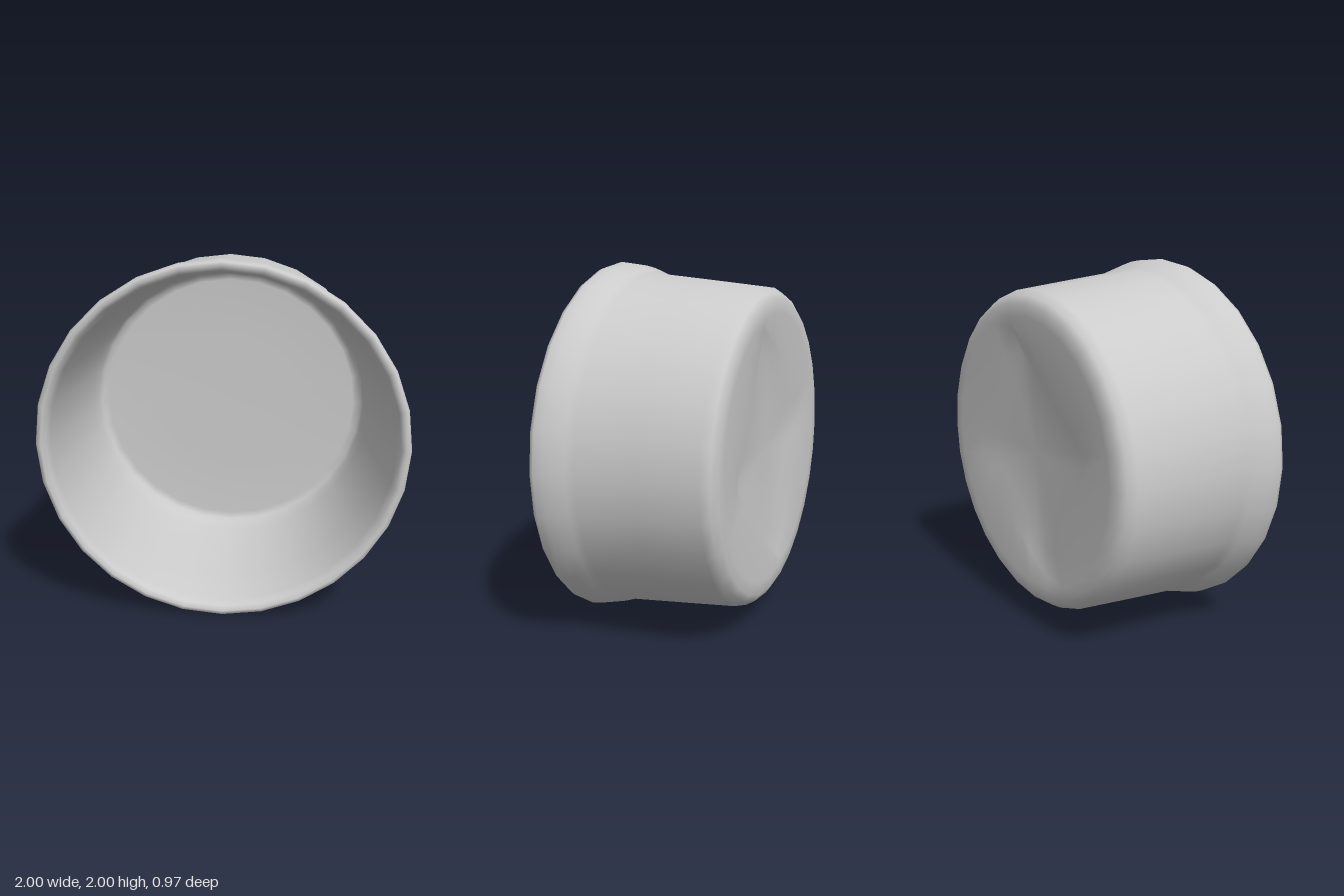
import * as THREE from 'three';
import { mergeVertices } from 'three/addons/utils/BufferGeometryUtils.js';

const SIDES = 28;
const TILT = 0.2;

// Radius of a leaning diamond outline at a given angle
function diamondRadius(angle) {
  const a = angle + TILT;
  return 1 / (Math.abs(Math.cos(a)) / 0.54 + Math.abs(Math.sin(a)) / 0.68);
}

// Solid of revolution whose axis runs from back to front
function turned(points) {
  const geometry = new THREE.LatheGeometry(points.map(([r, z]) => new THREE.Vector2(r, z)), SIDES);
  return geometry.rotateX(Math.PI / 2);
}

export function createModel() {
  const group = new THREE.Group();
  group.name = 'cup';
  const material = new THREE.MeshStandardMaterial({ color: 0xcccccc });

  // Closed wall section as [radius, z]: recessed base, outer wall, rolled lip, inner wall, floor
  const geometry = turned([
    [0, -0.425], [0.4, -0.43], [0.7, -0.465], [0.75, -0.475], [0.82, -0.474],
    [0.86, -0.447], [0.888, -0.4], [0.917, -0.07], [0.944, 0.25], [0.962, 0.29],
    [0.982, 0.345], [0.995, 0.4], [1, 0.45], [0.99, 0.475], [0.968, 0.481],
    [0.945, 0.465], [0.926, 0.42], [0.89, 0.2], [0.855, -0.05], [0.82, -0.25],
    [0.803, -0.32], [0.785, -0.355], [0.745, -0.37], [0.4, -0.375], [0, -0.375],
  ]);

  // Pull the two inner base rings into the diamond outline of the recess
  const pos = geometry.attributes.position;
  for (let i = 0; i < pos.count; i++) {
    const r = Math.hypot(pos.getX(i), pos.getY(i));
    const z = pos.getZ(i);
    if (z > -0.424 && z < 0 || r < 0.01 || r > 0.72 || z > 0) continue;
    const scale = diamondRadius(Math.atan2(pos.getY(i), pos.getX(i))) * (r < 0.5 ? 0.85 : 1.05) / r;
    pos.setXY(i, pos.getX(i) * scale, pos.getY(i) * scale);
  }

  // Weld the seam so the shading stays smooth all round
  geometry.deleteAttribute('uv');
  geometry.deleteAttribute('normal');
  const welded = mergeVertices(geometry);
  welded.computeVertexNormals();

  const shell = new THREE.Mesh(welded, material);
  shell.name = 'cupShell';
  shell.position.y = 1;
  shell.rotation.y = -0.01; // very slight skew of the body
  group.add(shell);

  return group;
}
